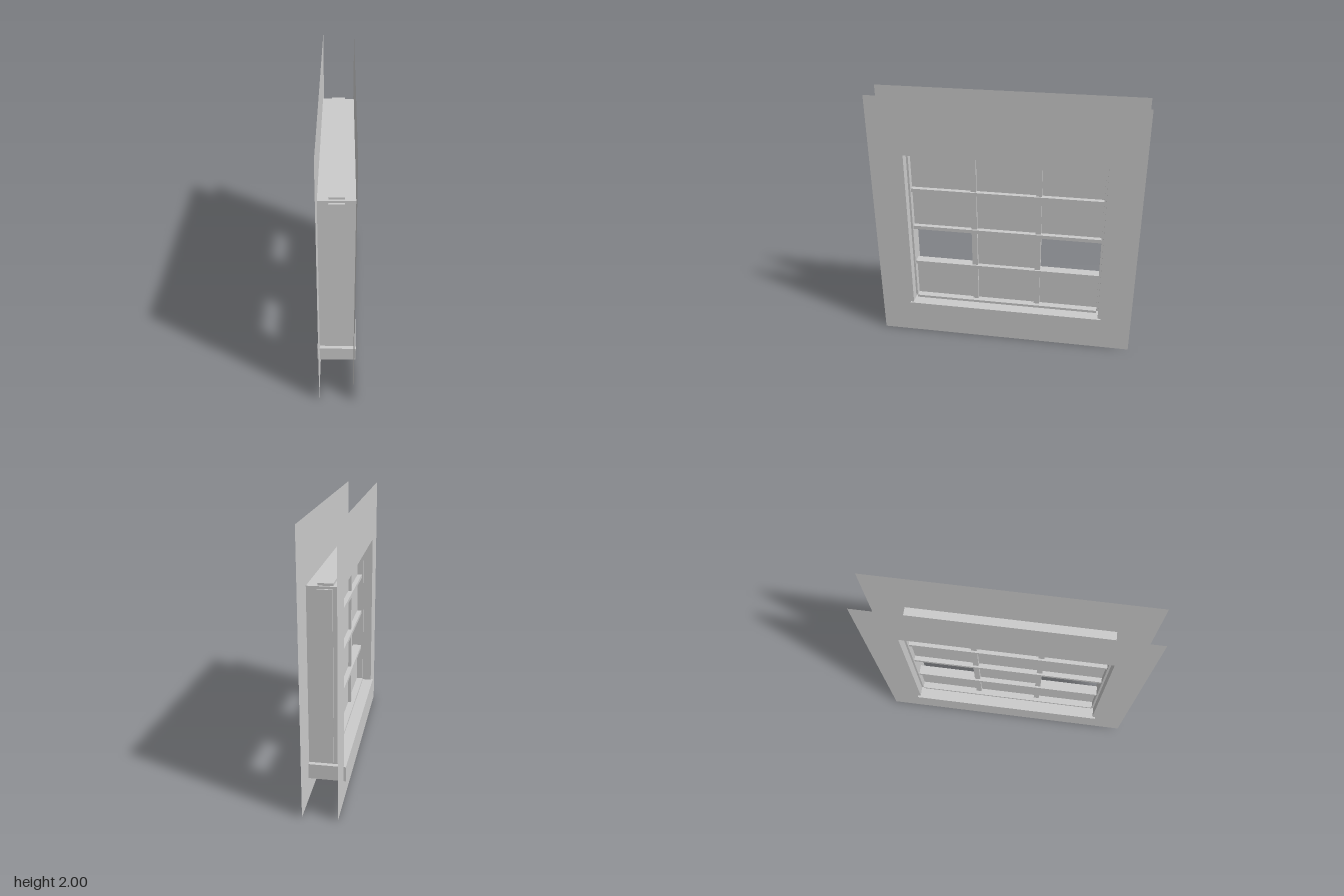
import * as THREE from 'three';

const mat = new THREE.MeshStandardMaterial({ color: 0xcccccc, flatShading: true });
const thin = new THREE.MeshStandardMaterial({ color: 0xcccccc, flatShading: true, side: THREE.DoubleSide });

// Opening in the wall, and the lines the sash bars are centred on
const HALF = 0.743, BOTTOM = 0.28, TOP = 1.56, WALL_X = 0.124;
const HEIGHT = TOP - BOTTOM, MID = (TOP + BOTTOM) / 2;

export function createModel() {
  const window = new THREE.Group();
  window.name = 'window';

  const box = (name, sx, sy, sz, x, y, z) => {
    const m = new THREE.Mesh(new THREE.BoxGeometry(sx, sy, sz), mat);
    m.name = name;
    m.position.set(x, y, z);
    window.add(m);
  };
  const sheet = (name, geometry, x, y, z, rx, ry) => {
    const m = new THREE.Mesh(geometry, thin);
    m.name = name;
    m.position.set(x, y, z);
    m.rotation.set(rx, ry, 0);
    window.add(m);
  };

  // Two thin wall faces, each with the window opening cut out
  const wall = new THREE.Shape([[-1, 0], [1, 0], [1, 2], [-1, 2]].map(p => new THREE.Vector2(...p)));
  wall.holes.push(new THREE.Path(
    [[-HALF, BOTTOM - 0.01], [-HALF, TOP], [HALF, TOP], [HALF, BOTTOM - 0.01]].map(p => new THREE.Vector2(...p))));
  const wallGeometry = new THREE.ShapeGeometry(wall);
  for (const s of [1, -1]) sheet(s > 0 ? 'leftWallFace' : 'rightWallFace', wallGeometry, s * WALL_X, 0, 0, 0, s * Math.PI / 2);

  // Reveal lining the opening between the wall faces
  for (const s of [1, -1]) sheet('revealSide', new THREE.PlaneGeometry(2 * WALL_X, HEIGHT), 0, MID, s * HALF, 0, 0);
  sheet('revealTop', new THREE.PlaneGeometry(2 * WALL_X, 2 * HALF), 0, TOP, 0, Math.PI / 2, 0);

  // Sill
  box('sill', 0.28, 0.112, 1.534, 0, 0.219, 0);

  // Sash frame, set into the reveal
  const inner = 0.728, low = 0.295, high = 1.543;
  for (const s of [1, -1]) box('sashSide', 0.104, high - low, 0.03, 0, (low + high) / 2, s * HALF);
  box('sashTop', 0.104, 0.034, 2 * inner, 0, TOP, 0);
  box('sashBottom', 0.104, 0.03, 2 * inner, 0, BOTTOM, 0);

  // Glazing bars: three deep horizontals, two shallower verticals
  for (let i = 1; i < 4; i++) box('horizontalBar', 0.074, 0.028, 2 * inner, 0, BOTTOM + HEIGHT * i / 4, 0);
  for (const s of [1, -1]) box('verticalBar', 0.046, high - low, 0.043, 0, (low + high) / 2, s * HALF / 3);

  // Panes: three columns by four rows, with two left open
  const pane = new THREE.PlaneGeometry(2 * HALF / 3, HEIGHT / 4);
  for (let row = 0; row < 4; row++) {
    for (let col = -1; col <= 1; col++) {
      if (row === 1 && col !== 0) continue;
      sheet('pane', pane, 0, BOTTOM + HEIGHT * (row + 0.5) / 4, col * 2 * HALF / 3, 0, Math.PI / 2);
    }
  }
  return window;
}
